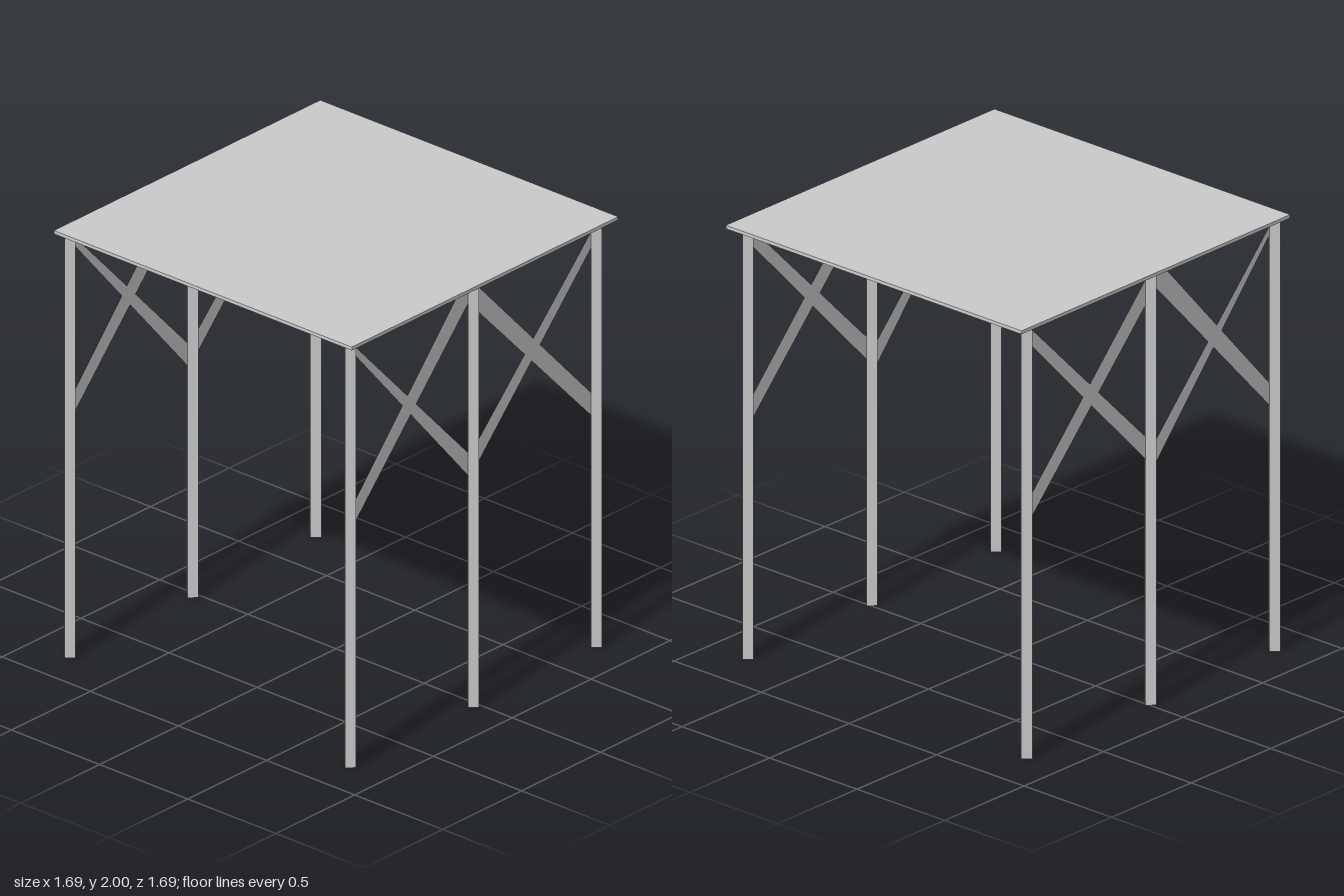
import * as THREE from 'three';

const TOP = 2, PLATE = 0.016, HALF = 0.845;
const UNDER = TOP - PLATE;
const POST_X = [-0.8, -0.02, 0.76];
const POST_R = 0.033;
const ROW_Z = 0.796;

export function createModel() {
  const group = new THREE.Group();
  const material = new THREE.MeshStandardMaterial({ color: 0xcccccc, flatShading: true });
  const sheet = new THREE.MeshStandardMaterial({ color: 0xcccccc, side: THREE.DoubleSide });

  const add = (name, geometry, mat, x, y, z) => {
    const mesh = new THREE.Mesh(geometry, mat);
    mesh.name = name;
    mesh.position.set(x, y, z);
    group.add(mesh);
  };

  // Thin square top
  add('tableTop', new THREE.BoxGeometry(2 * HALF, PLATE, 2 * HALF), material, 0, TOP - PLATE / 2, 0);

  // Flat braces between neighbouring posts, as outlines in the plane of a row
  const [l, m, r] = POST_X;
  const a = l + POST_R, b = m - POST_R, c = m + POST_R, d = r - POST_R;
  const braces = [
    [[a, 1.135], [b, 1.9], [b, UNDER], [-0.1, UNDER], [a, 1.237]],
    [[a, 1.915], [b, 1.093], [b, 1.2], [a, 1.957]],
    [[c, 1.133], [d, 1.878], [d, 1.955], [c, 1.237]],
    [[c, 1.838], [d, 1.093], [d, 1.2], [c, 1.957]],
  ].map(points => new THREE.ShapeGeometry(
    new THREE.Shape(points.map(([x, y]) => new THREE.Vector2(x, y)))));

  // Square posts standing corner-on, so their edges point along x and z
  const post = new THREE.CylinderGeometry(POST_R, POST_R, UNDER, 4);

  for (const [row, z] of [['front', ROW_Z], ['back', -ROW_Z]]) {
    for (const x of POST_X) add(row + 'Post', post, material, x, UNDER / 2, z);
    for (const brace of braces) add(row + 'Brace', brace, sheet, 0, 0, z);
  }
  return group;
}
